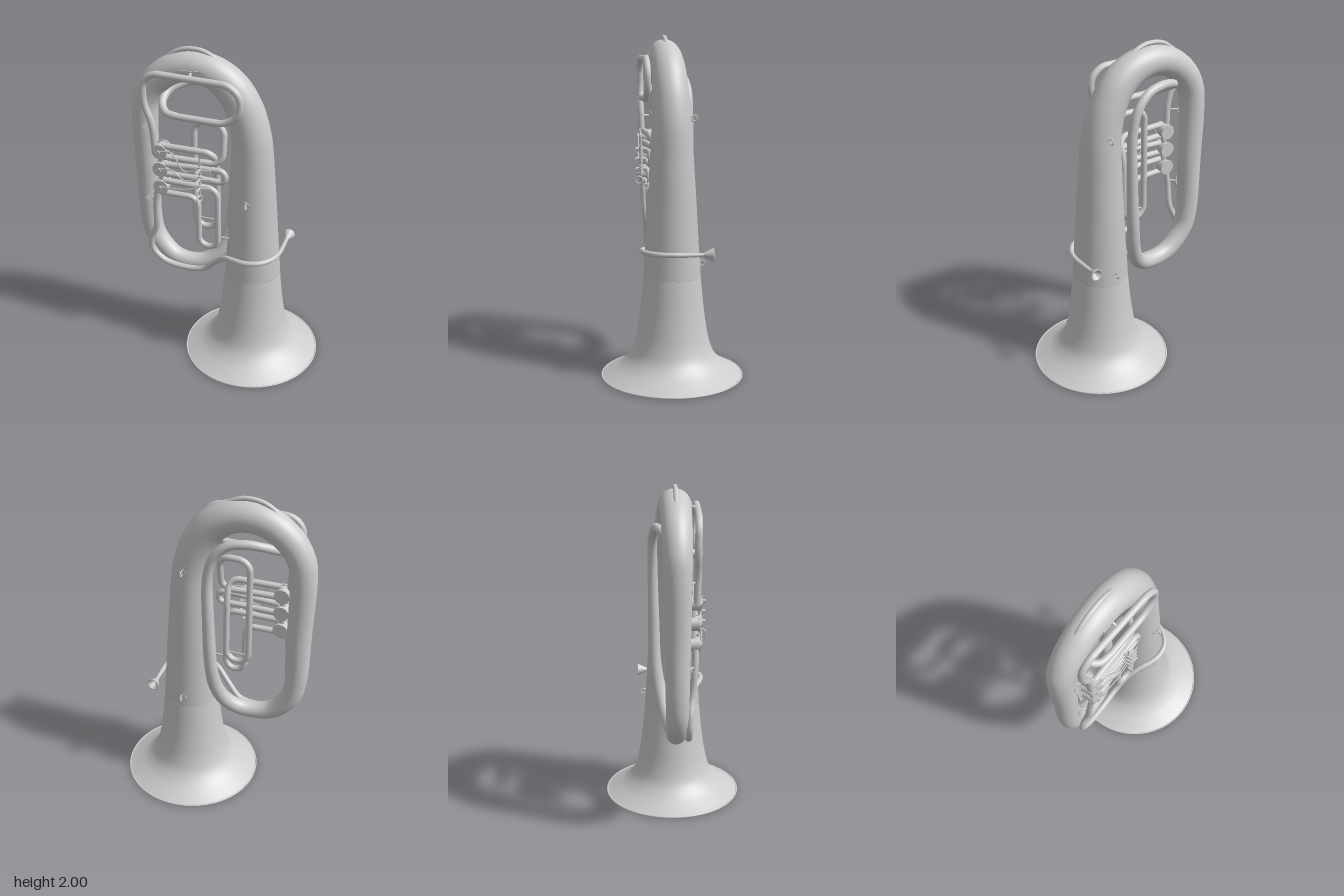
import * as THREE from 'three';

const material = new THREE.MeshStandardMaterial({ color: 0xcccccc, side: THREE.DoubleSide });
const V = (p) => new THREE.Vector3(...p);

function add(parent, name, geometry, pos = [0, 0, 0], rot = [0, 0, 0]) {
  const mesh = new THREE.Mesh(geometry, material);
  mesh.name = name;
  mesh.position.set(...pos);
  mesh.rotation.set(...rot);
  parent.add(mesh);
  return mesh;
}

// Smooth tube whose radius changes: points are [x, y, z, radius]
function taperedTube(points, segs, sides) {
  const curve = new THREE.CatmullRomCurve3(points.map((p) => V(p.slice(0, 3))));
  curve.arcLengthDivisions = 600;
  const radii = new THREE.SplineCurve(points.map((p) => new THREE.Vector2(p[3], 0)));
  const geo = new THREE.TubeGeometry(curve, segs, 1, sides, false);
  const pos = geo.attributes.position;
  const v = new THREE.Vector3();
  for (let i = 0; i <= segs; i++) {
    const c = curve.getPointAt(i / segs);
    const r = radii.getPoint(curve.getUtoTmapping(i / segs)).x;
    for (let j = 0; j <= sides; j++) {
      const k = i * (sides + 1) + j;
      v.fromBufferAttribute(pos, k).sub(c).multiplyScalar(r).add(c);
      pos.setXYZ(k, v.x, v.y, v.z);
    }
  }
  return geo;
}

// Plumbing with straight runs and rounded corners
function bentPipe(points, radius, corner, segs = 120) {
  const pts = points.map(V);
  const path = new THREE.CurvePath();
  let last = pts[0];
  const line = (to) => {
    if (last.distanceTo(to) > 1e-4) path.add(new THREE.LineCurve3(last, to));
    last = to;
  };
  for (let i = 1; i < pts.length - 1; i++) {
    const p = pts[i];
    const c = Math.min(corner, p.distanceTo(pts[i - 1]) / 2, p.distanceTo(pts[i + 1]) / 2);
    const a = p.clone().add(pts[i - 1].clone().sub(p).setLength(c));
    const b = p.clone().add(pts[i + 1].clone().sub(p).setLength(c));
    line(a);
    path.add(new THREE.CubicBezierCurve3(a, a.clone().lerp(p, 0.55), b.clone().lerp(p, 0.55), b));
    last = b;
  }
  line(pts[pts.length - 1]);
  return new THREE.TubeGeometry(path, segs, radius, 12, false);
}

const rod = (a, b, r) => new THREE.TubeGeometry(new THREE.LineCurve3(V(a), V(b)), 1, r, 8, false);

export function createModel() {
  const model = new THREE.Group();
  model.name = 'tuba';

  // Flared bell, open at the bottom
  const flare = new THREE.SplineCurve([
    [0.42, 0.004], [0.365, 0.033], [0.3, 0.075], [0.25, 0.13], [0.222, 0.2],
    [0.203, 0.29], [0.185, 0.42], [0.168, 0.6],
  ].map((p) => new THREE.Vector2(...p)));
  add(model, 'bell', new THREE.LatheGeometry(flare.getPoints(50), 72), [0.165, 0, 0]);
  add(model, 'bellRim', new THREE.TorusGeometry(0.416, 0.005, 8, 72), [0.165, 0.005, 0], [Math.PI / 2, 0, 0]);

  // Main body: up from the bell, over the top, round the bottom bow, up the back
  add(model, 'mainTube', taperedTube([
    [0.165, 0.6, 0, 0.168], [0.164, 0.8, 0, 0.155], [0.161, 1.0, 0, 0.144], [0.157, 1.25, 0, 0.129],
    [0.145, 1.5, 0, 0.115], [0.1, 1.67, 0, 0.107], [0.025, 1.79, 0, 0.1], [-0.08, 1.86, 0, 0.094],
    [-0.2, 1.88, 0, 0.09], [-0.32, 1.85, 0, 0.086], [-0.43, 1.765, 0, 0.083], [-0.49, 1.66, 0, 0.08],
    [-0.507, 1.55, 0, 0.077], [-0.503, 1.2, 0, 0.072], [-0.498, 0.85, 0, 0.066], [-0.475, 0.735, 0, 0.063],
    [-0.42, 0.65, 0, 0.06], [-0.34, 0.585, 0, 0.056], [-0.25, 0.565, -0.005, 0.052],
    [-0.15, 0.58, -0.025, 0.048], [-0.07, 0.645, -0.055, 0.045], [-0.025, 0.75, -0.085, 0.042],
    [-0.003, 0.9, -0.108, 0.038], [0.012, 1.2, -0.116, 0.033], [0.012, 1.53, -0.12, 0.028],
    [-0.025, 1.66, -0.12, 0.027], [-0.1, 1.735, -0.11, 0.026], [-0.2, 1.757, -0.095, 0.026],
    [-0.29, 1.742, -0.065, 0.025], [-0.36, 1.705, -0.01, 0.024], [-0.368, 1.665, 0.06, 0.023],
    [-0.325, 1.632, 0.115, 0.022], [-0.25, 1.624, 0.13, 0.021],
  ], 420, 40));

  // Tuning slide at the front, leading down into the valves
  add(model, 'tuningSlide', bentPipe([
    [-0.255, 1.624, 0.13], [0.06, 1.624, 0.135], [0.14, 1.74, 0.135], [0.08, 1.857, 0.135],
    [-0.46, 1.857, 0.115], [-0.465, 1.66, 0.11], [-0.415, 1.56, 0.115], [-0.405, 1.38, 0.11],
  ], 0.02, 0.11, 200));

  // Leadpipe from the valves, along the bottom bow and around the bell
  add(model, 'leadpipe', taperedTube([
    [-0.4, 1.12, 0.105, 0.019], [-0.418, 1.0, 0.1, 0.019], [-0.428, 0.84, 0.085, 0.019],
    [-0.468, 0.74, 0.075, 0.019], [-0.465, 0.655, 0.07, 0.019], [-0.39, 0.582, 0.07, 0.019],
    [-0.25, 0.555, 0.065, 0.018], [-0.13, 0.575, 0.065, 0.018], [-0.05, 0.655, 0.085, 0.017],
    [0.03, 0.725, 0.125, 0.016], [0.1, 0.745, 0.16, 0.016], [0.17, 0.753, 0.177, 0.016],
    [0.245, 0.757, 0.16, 0.015], [0.305, 0.757, 0.1, 0.015], [0.332, 0.757, 0.02, 0.014],
    [0.334, 0.755, -0.08, 0.013], [0.332, 0.755, -0.16, 0.011],
  ], 180, 14));
  const cup = [[0.01, 0], [0.013, 0.012], [0.024, 0.035], [0.036, 0.06], [0.037, 0.066], [0.03, 0.066], [0.018, 0.045], [0.004, 0.028]];
  add(model, 'mouthpiece', new THREE.LatheGeometry(cup.map((p) => new THREE.Vector2(...p)), 28),
    [0.331, 0.755, -0.148], [-Math.PI / 2, 0, 0]);

  // Rotary valves
  const valveHeights = [1.375, 1.26, 1.14];
  valveHeights.forEach((y, i) => {
    const valve = new THREE.Group();
    valve.name = 'valve' + (i + 1);
    valve.position.set(-0.373, y, 0.09);
    model.add(valve);
    const flat = [Math.PI / 2, 0, 0];
    add(valve, 'valveBody', new THREE.CylinderGeometry(0.041, 0.041, 0.075, 28), [0, 0, 0], flat);
    for (const z of [-0.035, 0.033]) {
      add(valve, 'valveCap', new THREE.CylinderGeometry(0.046, 0.046, 0.012, 28), [0, 0, z], flat);
    }
    add(valve, 'stopArm', new THREE.BoxGeometry(0.045, 0.014, 0.008), [0, 0, 0.043], [0, 0, 0.5]);
    add(valve, 'valveNut', new THREE.CylinderGeometry(0.013, 0.013, 0.014, 6), [0, 0, 0.046], flat);
    // Linkage to the lever
    const end = 1.32 - i * 0.06;
    const bend = new THREE.CatmullRomCurve3([
      [-0.36, y + 0.012, 0.137], [-0.29, y + 0.02, 0.145], [-0.21, end - 0.03, 0.148], [-0.12, end, 0.148],
    ].map(V));
    add(model, 'linkage', new THREE.TubeGeometry(bend, 24, 0.004, 6, false));
  });
  for (const y of [1.317, 1.2]) add(model, 'valveJoint', rod([-0.373, y - 0.03, 0.09], [-0.373, y + 0.03, 0.09], 0.018));

  // First valve: long loop behind the valve tubes
  add(model, 'firstValveSlide', bentPipe([
    [-0.36, 1.41, 0.105], [-0.045, 1.41, 0.1], [-0.045, 1.3, 0.05], [-0.045, 0.875, 0.04],
    [-0.187, 0.875, 0.04], [-0.187, 1.575, 0.04], [0.003, 1.575, 0.05], [0.003, 1.34, 0.09],
    [-0.36, 1.34, 0.105],
  ], 0.019, 0.07, 260));
  add(model, 'slideBrace', rod([-0.187, 0.93, 0.04], [-0.045, 0.93, 0.04], 0.005));

  // Second valve: short loop
  add(model, 'secondValveSlide', bentPipe([
    [-0.36, 1.29, 0.105], [-0.1, 1.305, 0.105], [0.025, 1.308, 0.105], [0.025, 1.232, 0.105],
    [-0.1, 1.235, 0.105], [-0.36, 1.23, 0.105],
  ], 0.018, 0.045));

  // Third valve: loop hanging down
  add(model, 'thirdValveSlide', bentPipe([
    [-0.36, 1.182, 0.105], [-0.025, 1.182, 0.105], [-0.025, 0.77, 0.095], [-0.147, 0.77, 0.095],
    [-0.147, 1.1, 0.1], [-0.36, 1.1, 0.105],
  ], 0.018, 0.06, 180));

  // Lever rack with spring drums and thumb ring
  add(model, 'leverAxle', rod([-0.115, 1.16, 0.148], [-0.115, 1.39, 0.148], 0.006));
  for (const y of [1.32, 1.26, 1.2]) {
    add(model, 'springDrum', new THREE.CylinderGeometry(0.013, 0.013, 0.036, 16), [-0.115, y, 0.148]);
    add(model, 'leverStud', rod([-0.115, y, 0.12], [-0.115, y, 0.18], 0.01));
    add(model, 'leverPaddle', new THREE.BoxGeometry(0.06, 0.016, 0.006), [-0.075, y, 0.158], [0, 0.15, 0]);
  }
  add(model, 'thumbRing', new THREE.TorusGeometry(0.022, 0.005, 10, 28), [-0.115, 1.13, 0.16], [0, Math.PI / 2 - 0.3, 0.4]);

  // Guard over the top bow
  add(model, 'topGuard', bentPipe([
    [-0.355, 1.915, 0], [-0.29, 1.968, 0], [-0.2, 1.987, 0], [-0.12, 1.975, 0], [-0.03, 1.918, 0],
  ], 0.014, 0.045, 60));

  // Strap rings on diamond plates: [y, bell radius there, front or back]
  for (const [y, r, s] of [[1.13, 0.137, 1], [0.67, 0.163, -1], [1.52, 0.112, -1]]) {
    add(model, 'ringPlate', new THREE.CylinderGeometry(0.026, 0.026, 0.008, 4), [0.16, y, s * r], [Math.PI / 2, 0, 0]);
    add(model, 'strapRing', new THREE.TorusGeometry(0.016, 0.004, 8, 24), [0.165, y, s * (r + 0.017)], [0.5, Math.PI / 2, 0]);
  }

  // Braces between the tubes
  for (const y of [1.5, 1.02]) {
    add(model, 'bracePlate', new THREE.CylinderGeometry(0.042, 0.042, 0.008, 4), [-0.462, y, 0.056], [Math.PI / 2, 0, -0.6]);
    add(model, 'brace', rod([-0.47, y, 0.05], [-0.41, y, 0.105], 0.007));
  }
  add(model, 'topBrace', rod([-0.18, 1.885, 0.07], [-0.18, 1.86, 0.13], 0.008));
  add(model, 'topBracePlate', new THREE.BoxGeometry(0.14, 0.012, 0.012), [-0.18, 1.885, 0.088], [0, 0, 0.06]);
  add(model, 'lowerBrace', rod([-0.025, 0.85, 0.095], [0.06, 0.85, 0.095], 0.006));

  return model;
}
